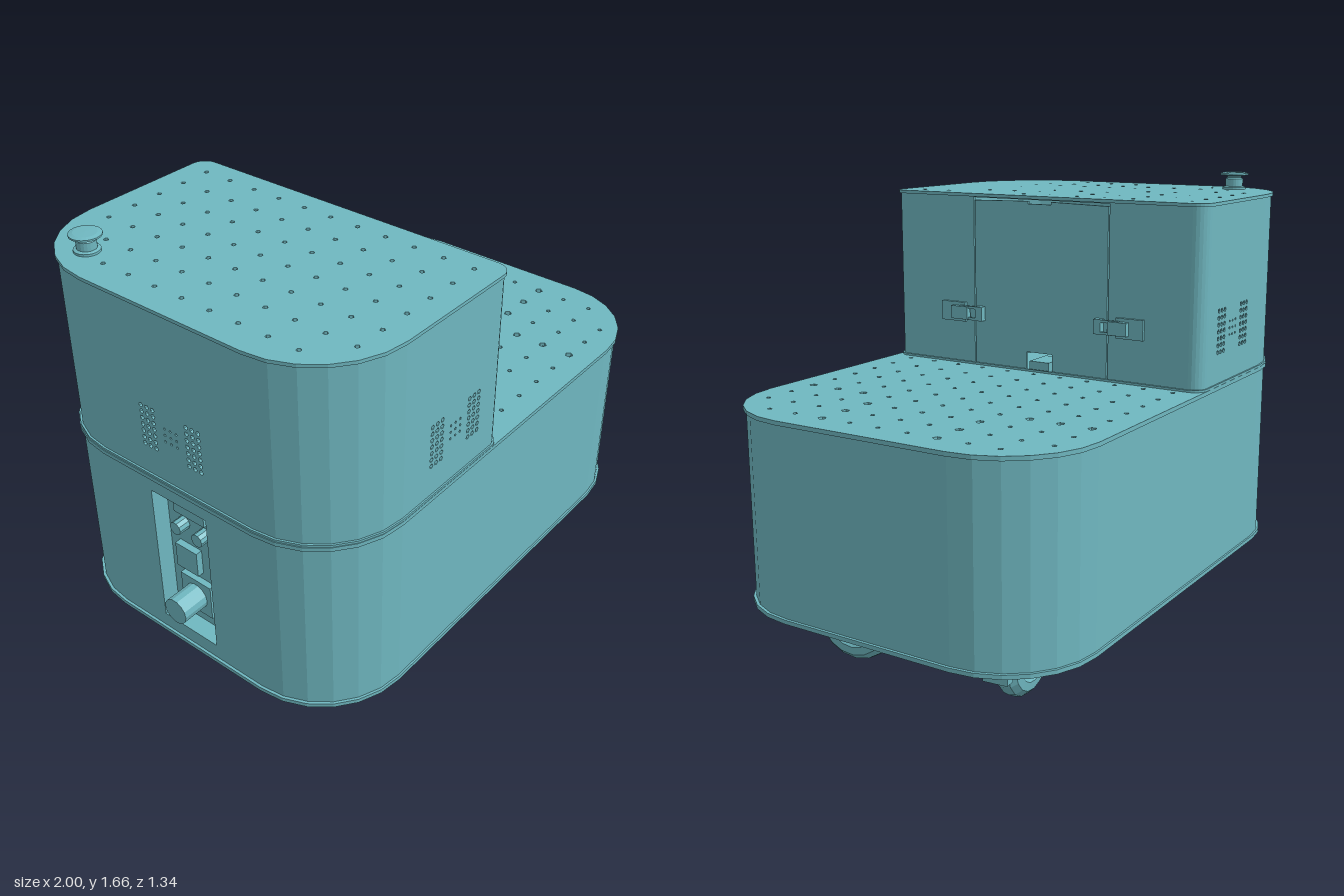
import * as THREE from 'three';
import { mergeGeometries } from 'three/addons/utils/BufferGeometryUtils.js';

const mat = new THREE.MeshStandardMaterial({ color: 0x6fb7c0, flatShading: true, side: THREE.DoubleSide });

function add(parent, name, geometry, x = 0, y = 0, z = 0) {
  const mesh = new THREE.Mesh(geometry, mat);
  mesh.name = name;
  mesh.position.set(x, y, z);
  parent.add(mesh);
  return mesh;
}

// Rounded footprint, counter-clockwise in (x, -z); separate radii for the +x and -x ends
function outline(x0, x1, half, rNeg, rPos, segments = 6) {
  const points = [];
  const corners = [[x0, -half, rNeg, 2], [x1, -half, rPos, 3], [x1, half, rPos, 0], [x0, half, rNeg, 1]];
  for (const [x, s, r, q] of corners) {
    const cx = x === x0 ? x + r : x - r, cs = s < 0 ? s + r : s - r;
    for (let i = 0; i <= segments; i++) {
      const a = (q + i / segments) * Math.PI / 2;
      points.push(new THREE.Vector2(cx + r * Math.cos(a), cs + r * Math.sin(a)));
    }
  }
  return points;
}

const circle = (x, y, r, sides = 6) => {
  const points = [];
  for (let i = 0; i < sides; i++) {
    const a = -i / sides * Math.PI * 2;
    points.push(new THREE.Vector2(x + r * Math.cos(a), y + r * Math.sin(a)));
  }
  return new THREE.Path(points);
};

const rect = (u0, u1, v0, v1) => [[u0, v0], [u1, v0], [u1, v1], [u0, v1]].map(p => new THREE.Vector2(...p));

function extrude(points, depth, holes = []) {
  const shape = new THREE.Shape(points);
  shape.holes.push(...holes);
  return new THREE.ExtrudeGeometry(shape, { depth, bevelEnabled: false });
}

// Horizontal plate with its underside at y = 0
const plate = (points, depth, holes) => extrude(points, depth, holes).rotateX(-Math.PI / 2);

// Thin walls along a footprint; openings(side) gives holes measured from each side's middle
function shell(points, y0, y1, openings) {
  const t = 0.012;
  return mergeGeometries(points.map((a, i) => {
    const b = points[(i + 1) % points.length];
    const d = b.clone().sub(a), half = d.length() / 2;
    const angle = Math.atan2(d.y, d.x);
    const flat = d.length() > 0.3;
    const side = ['front', 'right', 'back', 'left'][(Math.round(angle / (Math.PI / 2)) + 4) % 4];
    return extrude(rect(-half, half, y0, y1), t, flat ? openings(side, (a.x + b.x) / 2) : [])
      .translate(0, 0, -t).rotateY(angle)
      .translate((a.x + b.x) / 2, 0, -(a.y + b.y) / 2);
  }));
}

// Square grid of ventilation holes on the lids
function perforations(xMax) {
  const holes = [];
  for (let i = 0; i < 16; i++) {
    for (let j = -5; j <= 5; j++) {
      const x = -0.842 + i * 0.1155, s = j * 0.1155, k = Math.abs(j);
      const cornerX = Math.max(-0.62 - x, x - 0.66, 0), cornerS = Math.max(Math.abs(s) - 0.34, 0);
      if (x > xMax || Math.hypot(cornerX, cornerS) > 0.3) continue;
      const large = (i === 12 && k >= 3) || (i > 12 && k === 2);
      holes.push(circle(x, s, large ? 0.015 : 0.009, 5));
    }
  }
  return holes;
}

// Two square clusters of speaker holes centred on u
function grille(u) {
  const holes = [];
  for (const cluster of [-0.1, 0, 0.1]) {
    for (let i = -1; i <= 1; i++) {
      for (let j = -3; j <= 3; j++) {
        if (cluster === 0 && Math.abs(j) > 1) continue;
        holes.push(circle(u + cluster + i * 0.026, 1.13 + j * 0.025, cluster ? 0.009 : 0.005, 5));
      }
    }
  }
  return holes;
}

// Swivel caster; the wheel trails toward local +x
function caster(x, z, yaw) {
  const g = new THREE.Group();
  g.name = 'caster';
  const tire = [[0.03, -0.032], [0.085, -0.032], [0.105, -0.045], [0.135, -0.042], [0.155, -0.022], [0.16, 0],
    [0.155, 0.022], [0.135, 0.042], [0.105, 0.045], [0.085, 0.032], [0.03, 0.032]].map(p => new THREE.Vector2(...p));
  add(g, 'wheel', new THREE.LatheGeometry(tire, 18).rotateX(Math.PI / 2), 0.09, 0.16, 0);
  add(g, 'axle', new THREE.CylinderGeometry(0.025, 0.025, 0.14, 8).rotateX(Math.PI / 2), 0.09, 0.16, 0);
  const arm = [[0.07, 0.13], [0.11, 0.13], [0.13, 0.17], [0.07, 0.34], [-0.08, 0.34], [-0.08, 0.27]]
    .map(p => new THREE.Vector2(...p));
  for (const side of [-1, 1]) add(g, 'forkArm', extrude(arm, 0.012), 0, 0, side * 0.056 - 0.006);
  add(g, 'forkCrown', new THREE.BoxGeometry(0.15, 0.015, 0.124), -0.005, 0.337, 0);
  add(g, 'swivel', new THREE.CylinderGeometry(0.07, 0.07, 0.04, 14), 0, 0.365, 0);
  add(g, 'brakeArm', new THREE.BoxGeometry(0.04, 0.15, 0.07), -0.085, 0.23, 0);
  add(g, 'brakePedal', new THREE.BoxGeometry(0.04, 0.06, 0.09), -0.09, 0.15, 0);
  g.position.set(x, 0, z);
  g.rotation.y = yaw;
  return g;
}

export function createModel() {
  const model = new THREE.Group();
  model.name = 'wheeledCart';
  const bodyLine = outline(-0.94, 0.99, 0.665, 0.33, 0.33);
  const bodyRim = outline(-0.95, 1, 0.672, 0.335, 0.335);
  const towerLine = outline(-0.94, -0.075, 0.665, 0.33, 0.05);
  const towerRim = outline(-0.947, -0.068, 0.671, 0.335, 0.055);
  const pivots = [[-0.68, 0.37, 0.1], [0.7, 0.37, Math.PI / 2 + 0.1], [0.7, -0.37, Math.PI + 0.1], [-0.68, -0.37, 0.1 - Math.PI / 2]];

  // Lower body with a control panel opening at -x
  const body = new THREE.Group();
  body.name = 'lowerBody';
  model.add(body);
  add(body, 'bodyWall', shell(bodyLine, 0.235, 0.925,
    side => side === 'left' ? [new THREE.Path(rect(-0.125, 0.125, 0.3, 0.86))] : []));
  add(body, 'deck', plate(bodyRim, 0.015, perforations(2)), 0, 0.917, 0);
  const floorHoles = pivots.map(([x, z]) => circle(x, -z, 0.205, 20));
  for (const s of [-1, 1]) {
    floorHoles.push(circle(0.428, s * 0.35, 0.012));
    for (const x of [-0.2, 0.2]) floorHoles.push(circle(x, s * 0.6, 0.008));
  }
  add(body, 'floor', plate(bodyRim, 0.015, floorHoles), 0, 0.228, 0);

  // Casters in round wells
  for (const [x, z, yaw] of pivots) {
    add(body, 'wheelWell', new THREE.CylinderGeometry(0.205, 0.205, 0.15, 20, 1, true), x, 0.31, z);
    add(body, 'wellTop', new THREE.CylinderGeometry(0.205, 0.205, 0.01, 20), x, 0.388, z);
    model.add(caster(x, z, yaw));
  }

  // Recessed control panel
  const panel = new THREE.Group();
  panel.name = 'controlPanel';
  panel.position.x = -0.87;
  model.add(panel);
  add(panel, 'panelBack', new THREE.BoxGeometry(0.01, 0.58, 0.27), 0, 0.58, 0);
  for (const s of [-1, 1]) {
    add(panel, 'panelSide', new THREE.BoxGeometry(0.062, 0.58, 0.01), -0.03, 0.58, s * 0.13);
    add(panel, 'panelEnd', new THREE.BoxGeometry(0.062, 0.01, 0.27), -0.03, 0.58 + s * 0.285, 0);
    add(panel, 'switch', new THREE.CylinderGeometry(0.025, 0.025, 0.05, 10).rotateZ(Math.PI / 2), -0.025, 0.72, s * 0.05);
  }
  add(panel, 'socketPlate', new THREE.BoxGeometry(0.03, 0.1, 0.1), -0.015, 0.58, -0.03);
  add(panel, 'meter', new THREE.BoxGeometry(0.03, 0.05, 0.14), -0.015, 0.8, 0);
  add(panel, 'plugBase', new THREE.BoxGeometry(0.025, 0.14, 0.14), -0.015, 0.43, 0);
  add(panel, 'plug', new THREE.CylinderGeometry(0.05, 0.05, 0.13, 14).rotateZ(Math.PI / 2), -0.065, 0.43, 0);

  // Tower with speaker holes on three sides and a door opening at +x
  const tower = new THREE.Group();
  tower.name = 'tower';
  model.add(tower);
  add(tower, 'towerWall', shell(towerLine, 0.93, 1.585, (side, middle) => {
    if (side === 'right') return [new THREE.Path(rect(-0.293, 0.293, 0.936, 1.577))];
    return grille(side === 'front' ? -0.34 - middle : side === 'back' ? middle + 0.34 : 0);
  }));
  add(tower, 'towerFlange', plate(towerRim, 0.008, [new THREE.Path(towerLine)]), 0, 0.932, 0);
  add(tower, 'towerLid', plate(towerRim, 0.012, perforations(-0.1)), 0, 1.58, 0);

  // Door with a cable notch at the bottom and a finger slot at the top
  const doorLine = [[-0.288, 0.938], [-0.057, 0.938], [-0.057, 1.005], [0.057, 1.005], [0.057, 0.938], [0.288, 0.938],
    [0.288, 1.567], [0.05, 1.572], [0.05, 1.562], [-0.05, 1.562], [-0.05, 1.572], [-0.288, 1.567]]
    .map(p => new THREE.Vector2(...p));
  add(tower, 'door', extrude(doorLine, 0.012).rotateY(Math.PI / 2), -0.087, 0, 0);
  add(tower, 'cableGuide', new THREE.BoxGeometry(0.12, 0.035, 0.085), -0.15, 0.95, 0.01);

  // Latches across the door edges
  for (const s of [-1, 1]) {
    const latch = new THREE.Group();
    latch.name = 'latch';
    latch.position.set(-0.075, 1.135, s * 0.34);
    tower.add(latch);
    add(latch, 'latchPlate', new THREE.BoxGeometry(0.012, 0.075, 0.11), 0.006, 0, s * 0.045);
    add(latch, 'latchLever', new THREE.BoxGeometry(0.022, 0.05, 0.075), 0.022, 0, s * 0.005);
    for (const v of [-1, 1]) add(latch, 'latchLoop', new THREE.BoxGeometry(0.01, 0.01, 0.1), 0.02, v * 0.022, -s * 0.04);
    add(latch, 'latchHook', new THREE.BoxGeometry(0.026, 0.055, 0.03), 0.013, 0, -s * 0.08);
  }

  // Mushroom stop button
  const button = [[0, 0], [0.045, 0], [0.045, 0.012], [0.034, 0.016], [0.034, 0.045], [0.026, 0.05],
    [0.03, 0.056], [0.055, 0.06], [0.055, 0.066], [0.04, 0.07], [0, 0.071]].map(p => new THREE.Vector2(...p));
  add(tower, 'stopButton', new THREE.LatheGeometry(button, 20), -0.815, 1.588, -0.45);

  model.position.x = 0;
  return model;
}
